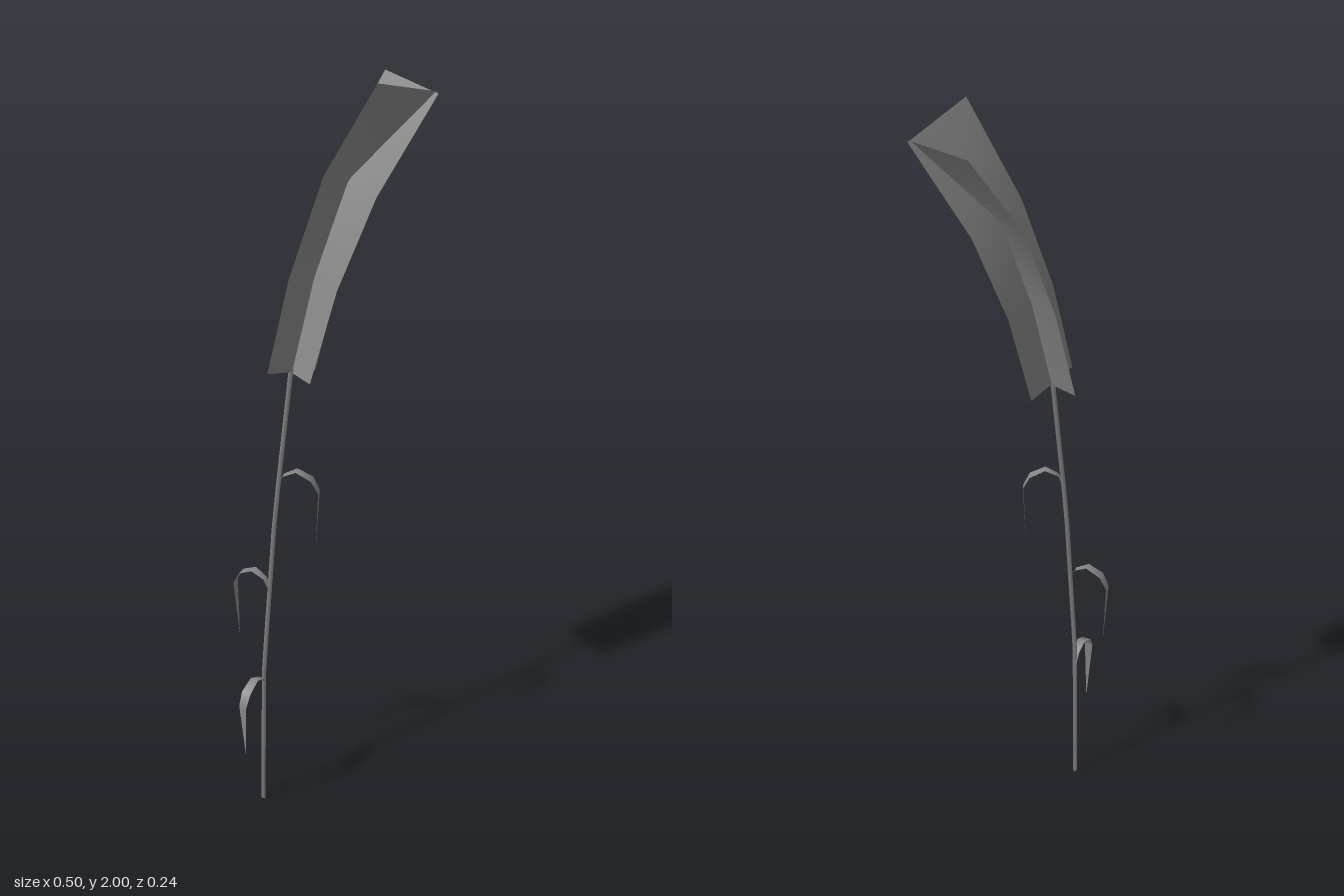
import * as THREE from 'three';

const material = new THREE.MeshStandardMaterial({ color: 0x868686, side: THREE.DoubleSide });

// Smooth ribbon surface between two edges, each a list of [x, y, z] points
function ribbon(name, edgeA, edgeB) {
  const pos = [], index = [];
  edgeA.forEach((a, i) => {
    pos.push(...a, ...edgeB[i]);
    if (i > 0) {
      const k = 2 * i;
      index.push(k - 2, k - 1, k, k - 1, k + 1, k);
    }
  });
  const geo = new THREE.BufferGeometry();
  geo.setAttribute('position', new THREE.Float32BufferAttribute(pos, 3));
  geo.setIndex(index);
  geo.computeVertexNormals();
  const mesh = new THREE.Mesh(geo, material);
  mesh.name = name;
  return mesh;
}

// Drooping leaf: [distance out, height from the crest, half width]
const leafProfile = [
  [0, -0.045, 0.006], [0.012, -0.017, 0.008], [0.045, 0, 0.011],
  [0.083, -0.02, 0.013], [0.1, -0.055, 0.011], [0.092, -0.22, 0.0005],
];

function leaf(x, z, crestY, dx, dz) {
  const len = Math.hypot(dx, dz), ux = dx / len, uz = dz / len;
  const edge = s => leafProfile.map(([r, h, w]) =>
    [x + ux * r - uz * w * s, crestY + h, z + uz * r + ux * w * s]);
  return ribbon('leaf', edge(1), edge(-1));
}

export function createModel() {
  const group = new THREE.Group();

  // Slender three-sided stem of straight segments, leaning to its left
  const stemPath = [
    [-0.164, 0, -0.027], [-0.153, 0.44, -0.027], [-0.111, 0.9, -0.027], [-0.058, 1.3, -0.025],
  ].map(p => new THREE.Vector3(...p));
  const curve = new THREE.CurvePath();
  for (let i = 1; i < stemPath.length; i++) curve.add(new THREE.LineCurve3(stemPath[i - 1], stemPath[i]));
  const stem = new THREE.Mesh(new THREE.TubeGeometry(curve, 12, 0.007, 3), material);
  stem.name = 'stem';
  group.add(stem);

  // Three leaves spiralling up the stem
  group.add(
    leaf(-0.154, -0.027, 0.44, -0.094, 0.034),
    leaf(-0.133, -0.027, 0.737, -0.04, -0.092),
    leaf(-0.1, -0.026, 1.037, 0.066, 0.074),
  );

  // Plume made of two crossed ribbons
  const plume = new THREE.Group();
  plume.name = 'plume';
  plume.add(
    ribbon('plumeSideToSide',
      [[-0.131, 1.31, -0.022], [-0.072, 1.54, -0.014], [0.01, 1.775, 0.008], [0.075, 2.0, 0.11]],
      [[0.01, 1.275, -0.022], [0.077, 1.51, -0.014], [0.165, 1.73, 0.008], [0.248, 1.945, 0.11]]),
    ribbon('plumeFrontToBack',
      [[-0.06, 1.29, 0.048], [0, 1.52, 0.071], [0.078, 1.74, 0.11], [0.239, 1.945, 0.12]],
      [[-0.06, 1.29, -0.098], [0, 1.52, -0.087], [0.078, 1.74, -0.063], [0.239, 1.95, -0.063]]),
  );
  group.add(plume);
  return group;
}
